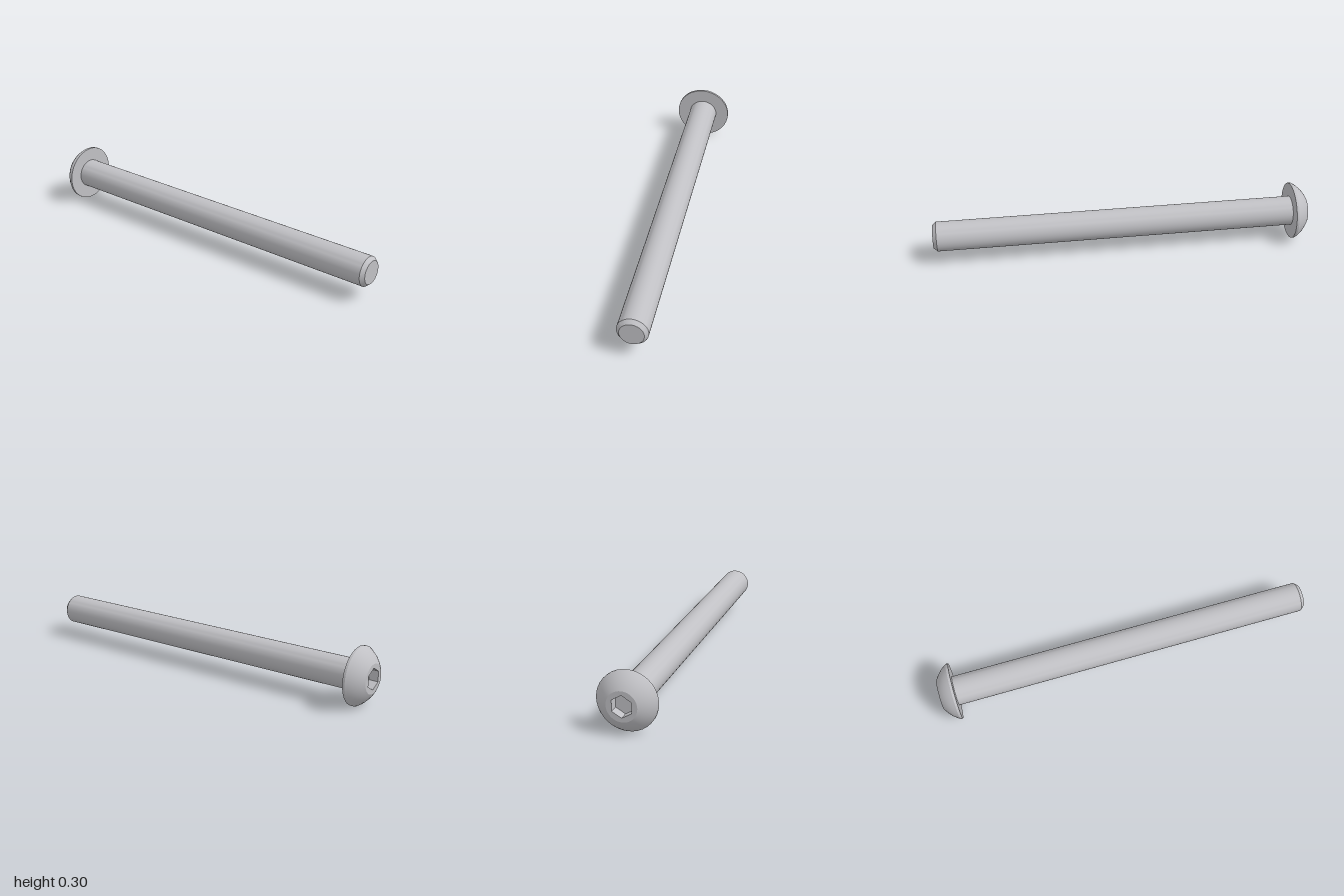
import * as THREE from 'three';
import { toCreasedNormals } from 'three/addons/utils/BufferGeometryUtils.js';

const SIDES = 36;
const HEAD_R = 0.15, FACE_R = 0.076, SHANK_R = 0.078, SOCKET_R = 0.055;
const HEAD_BACK = -0.917, RIM = -0.93;

export function createModel() {
  const steel = new THREE.MeshStandardMaterial({ color: 0xc0c0c4 });
  steel.name = 'steel';

  const model = new THREE.Group();
  model.name = 'buttonHeadScrew';
  model.position.y = HEAD_R;

  // Turned part about the x axis; profile points are [x, radius]
  function turned(name, profile, sides = SIDES, start = 0) {
    const points = profile.map(([x, r]) => new THREE.Vector2(r, x));
    const geometry = new THREE.LatheGeometry(points, sides, start);
    const mesh = new THREE.Mesh(toCreasedNormals(geometry, 0.4), steel);
    mesh.name = name;
    mesh.rotation.z = -Math.PI / 2;
    model.add(mesh);
  }

  // Regular polygon with a corner pointing up
  const polygon = (r, n) => Array.from({ length: n }, (_, i) => {
    const a = Math.PI / 2 + (i / n) * Math.PI * 2;
    return new THREE.Vector2(r * Math.cos(a), r * Math.sin(a));
  });

  // Domed head with a narrow rim and flat underside
  const dome = new THREE.QuadraticBezierCurve(
    new THREE.Vector2(-1, FACE_R),
    new THREE.Vector2(-0.975, 0.123),
    new THREE.Vector2(RIM, HEAD_R)
  ).getPoints(8).map((p) => [p.x, p.y]);
  turned('head', [...dome, [HEAD_BACK, HEAD_R], [HEAD_BACK, SHANK_R]]);

  // Flat front of the head, pierced by the hexagonal socket
  const face = new THREE.Shape(polygon(FACE_R, SIDES));
  face.holes.push(new THREE.Path(polygon(SOCKET_R, 6)));
  const headFace = new THREE.Mesh(new THREE.ShapeGeometry(face), steel);
  headFace.name = 'headFace';
  headFace.rotation.y = -Math.PI / 2;
  headFace.position.x = -1;
  model.add(headFace);

  // Socket floor and inward-facing walls
  turned('hexSocket', [[-0.95, 0], [-0.95, SOCKET_R], [-1, SOCKET_R]], 6, Math.PI / 6);

  // Plain shank with a chamfered tip
  turned('shank', [[HEAD_BACK, SHANK_R], [0.98, SHANK_R], [1, 0.061], [1, 0]]);

  return model;
}
